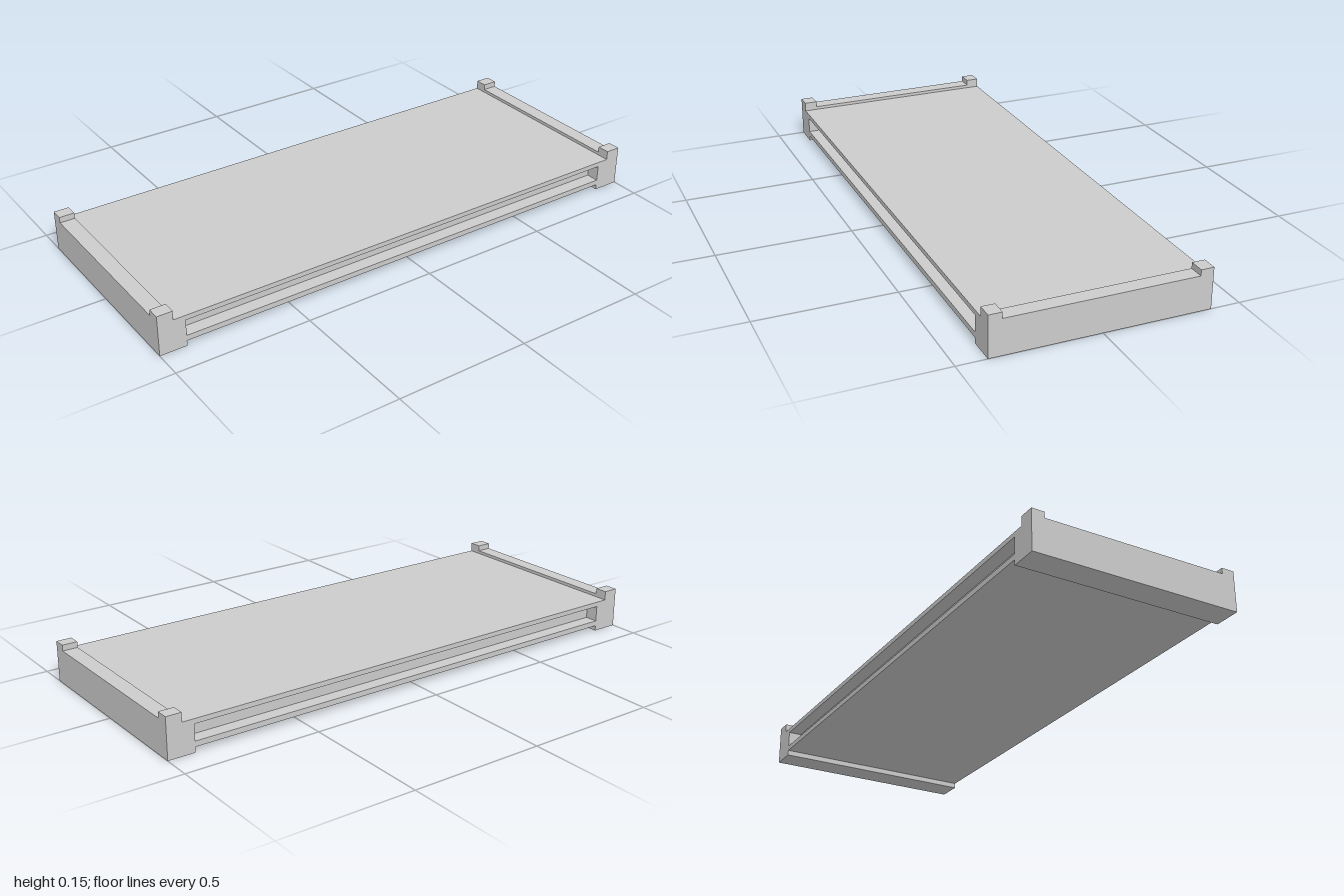
import * as THREE from 'three';

const material = new THREE.MeshStandardMaterial({ color: 0xcccccc, flatShading: true });
const HALF_DEPTH = 0.393, DECK_TOP = 0.118, RAIL_TOP = 0.13, POST_TOP = 0.152;
const INNER = 0.9, RAIL_X = 0.943, GROOVE = 0.05;

// Extrude an outline, centred along its extrusion axis
function prism(points, length) {
  const shape = new THREE.Shape(points.map(([x, y]) => new THREE.Vector2(x, y)));
  const geometry = new THREE.ExtrudeGeometry(shape, { depth: length, bevelEnabled: false });
  return geometry.translate(0, 0, -length / 2);
}

function addPart(group, name, geometry) {
  const mesh = new THREE.Mesh(geometry, material);
  mesh.name = name;
  group.add(mesh);
  return mesh;
}

export function createModel() {
  const model = new THREE.Group();
  model.name = 'tray';

  // Deck slab with a long groove in its front and back edges
  const d = HALF_DEPTH, g = HALF_DEPTH - GROOVE;
  const deck = prism([
    [-d, 0.02], [d, 0.02], [d, 0.04], [g, 0.04], [g, 0.1], [d, 0.1],
    [d, DECK_TOP], [-d, DECK_TOP], [-d, 0.1], [-g, 0.1], [-g, 0.04], [-d, 0.04],
  ], INNER * 2);
  addPart(model, 'deck', deck.rotateY(Math.PI / 2));

  for (const side of [-1, 1]) {
    const end = new THREE.Group();
    end.name = side > 0 ? 'leftEnd' : 'rightEnd';
    // Stepped end rail
    const outline = [
      [INNER, 0], [1, 0], [1, RAIL_TOP], [RAIL_X, RAIL_TOP], [RAIL_X, DECK_TOP], [INNER, DECK_TOP],
    ].map(([x, y]) => [side * x, y]);
    addPart(end, 'endRail', prism(outline, HALF_DEPTH * 2));

    // Raised corner stops
    for (const z of [-1, 1]) {
      const stop = addPart(end, z > 0 ? 'frontCornerStop' : 'backCornerStop',
        new THREE.BoxGeometry(1 - RAIL_X, POST_TOP - RAIL_TOP, 0.048));
      stop.position.set(side * (1 + RAIL_X) / 2, (POST_TOP + RAIL_TOP) / 2, z * (HALF_DEPTH - 0.024));
    }
    model.add(end);
  }
  return model;
}
